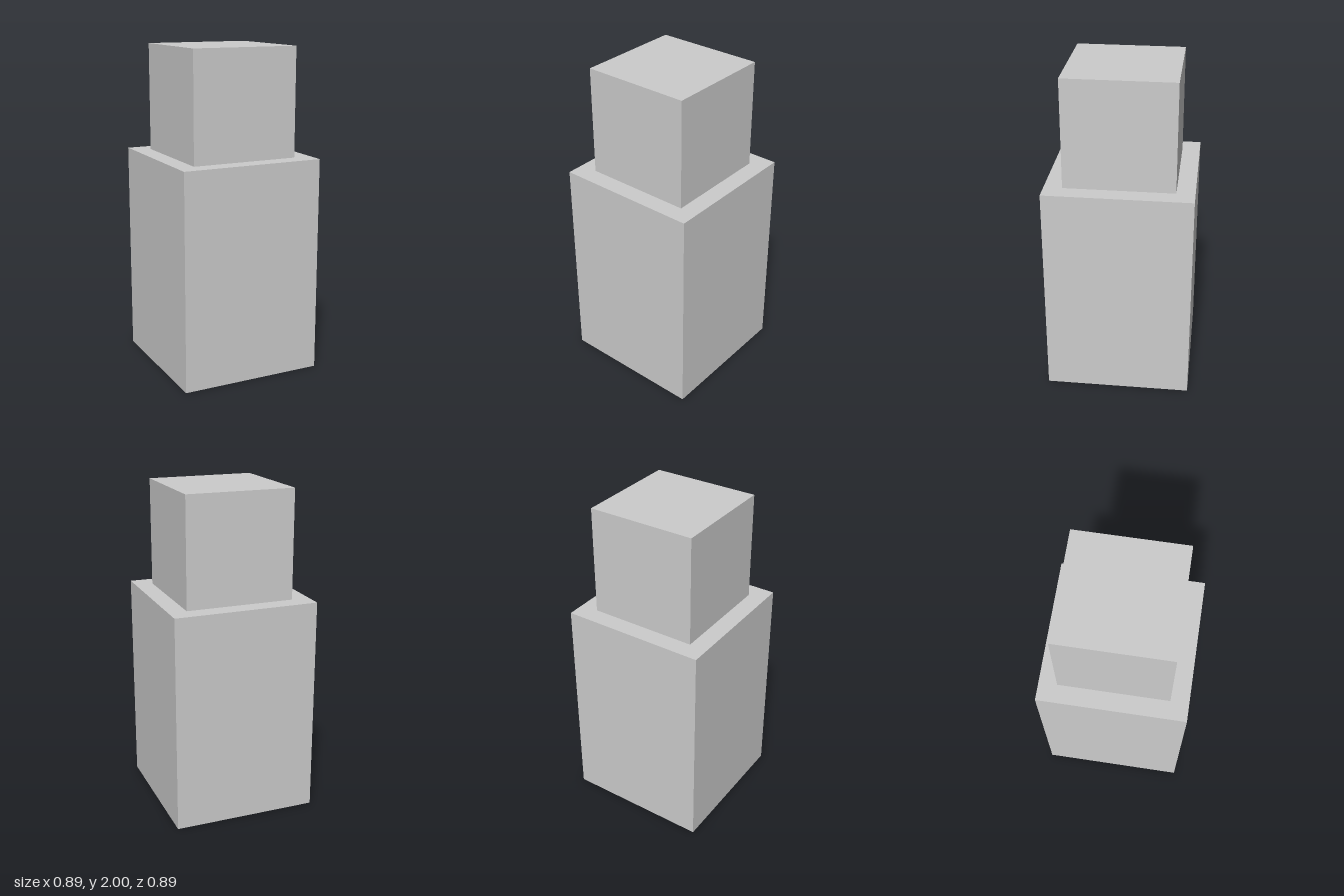
import * as THREE from 'three';

const material = new THREE.MeshStandardMaterial({ color: 0xcccccc, flatShading: true });

// Square block standing on height y
function block(name, width, height, y) {
  const mesh = new THREE.Mesh(new THREE.BoxGeometry(width, height, width), material);
  mesh.name = name;
  mesh.position.y = y + height / 2;
  return mesh;
}

export function createModel() {
  const model = new THREE.Group();
  model.name = 'steppedBlock';

  const bodyHeight = 4 / 3;
  model.add(block('body', 8 / 9, bodyHeight, 0)); // tall lower block
  model.add(block('top', 2 / 3, 2 / 3, bodyHeight)); // smaller cube on top

  return model;
}
